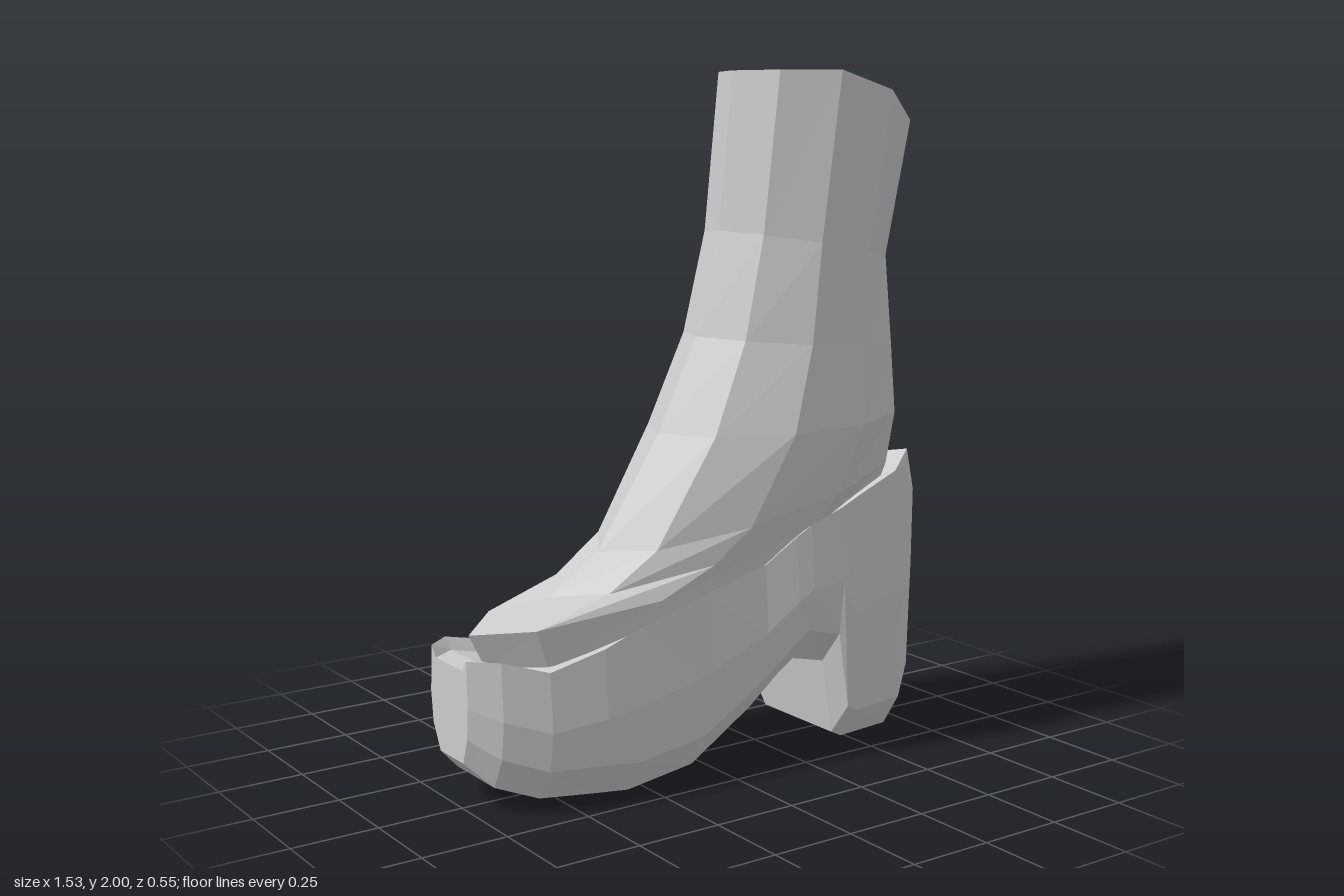
import * as THREE from 'three';

const material = new THREE.MeshStandardMaterial({ color: 0xcccccc, flatShading: true });

// Skin a row of equal-sized point loops, closing both ends with a fan.
function loft(name, rings, startTip, endTip) {
  const n = rings[0].length;
  const pos = [];
  const index = [];
  rings.forEach(r => r.forEach(p => pos.push(...p)));
  const mean = r => [0, 1, 2].map(k => r.reduce((s, p) => s + p[k], 0) / n);
  const last = rings.length - 1;
  const start = pos.length / 3;
  pos.push(...(startTip || mean(rings[0])));
  pos.push(...(endTip || mean(rings[last])));
  for (let i = 0; i < n; i++) {
    const k = (i + 1) % n;
    for (let j = 0; j < last; j++) {
      const a = j * n + i, b = j * n + k;
      index.push(a, b, b + n, a, b + n, a + n);
    }
    index.push(start, k, i);
    index.push(start + 1, last * n + i, last * n + k);
  }
  const geo = new THREE.BufferGeometry();
  geo.setAttribute('position', new THREE.Float32BufferAttribute(pos, 3));
  geo.setIndex(index);
  const flat = geo.toNonIndexed();
  flat.computeVertexNormals();
  const mesh = new THREE.Mesh(flat, material);
  mesh.name = name;
  return mesh;
}

// Tilted oval loop from an instep point to a heel point.
function oval([fx, fy, bx, by, width, cz], sides = 10) {
  return Array.from({ length: sides }, (_, i) => {
    const a = (i / sides) * Math.PI * 2;
    const t = (1 - Math.cos(a)) / 2;
    return [fx + (bx - fx) * t, fy + (by - fy) * t, cz + width * 1.04 * Math.sin(a)];
  });
}

// Chamfered sole section at x: bottom, top, +z and -z extents.
function section([x, b, t, zl, zr]) {
  const h = t - b;
  const chamfer = b + Math.min(0.1, h * 0.25);
  const side = z => [
    [x, t - 0.03, z * 0.75],
    [x, t, z * 0.94],
    [x, b + h * 0.55, z],
    [x, chamfer, z * 0.92],
    [x, b, z * 0.62],
  ];
  return [...side(zl), ...side(zr).reverse()];
}

export function createModel() {
  const boot = new THREE.Group();
  boot.name = 'boot';

  // Upper: foot and ankle, then the shaft
  const upper = [
    [-0.66, 0.38, 0.66, 0.5, 0.2, -0.02],
    [-0.71, 0.48, 0.71, 0.68, 0.215, -0.02],
    [-0.46, 0.55, 0.725, 0.78, 0.23, -0.02],
    [-0.3, 0.66, 0.73, 0.86, 0.25, -0.01],
    [-0.1, 0.98, 0.72, 1.0, 0.275, 0],
    [0.03, 1.25, 0.7, 1.2, 0.25, 0],
    [0.11, 1.55, 0.67, 1.46, 0.235, 0],
  ].map(r => oval(r));

  // Rim slopes down to the back; the opening is bevelled inward
  const slope = (ring, drop) => ring.map(([x, y, z]) =>
    [x, y - drop * (0.75 - x) / 0.6 - Math.max(0, x - 0.45) * 0.57, z]);
  upper.push(slope(oval([0.15, 2, 0.75, 2, 0.24, 0.01]), 0));
  upper.push(slope(oval([0.2, 2, 0.69, 2, 0.19, 0.005]), 0.07));
  upper.push(slope(oval([0.23, 1.91, 0.67, 1.91, 0.17, 0.005]), 0.03));
  upper.push(oval([0.25, 1.62, 0.65, 1.62, 0.155, 0.005]));
  boot.add(loft('upper', upper));

  // Platform sole, arch, heel block and heel counter
  const sole = [
    [-0.77, 0.15, 0.44, 0.08, -0.13],
    [-0.7, 0.08, 0.44, 0.15, -0.19],
    [-0.58, 0.035, 0.405, 0.205, -0.235],
    [-0.42, 0.02, 0.45, 0.23, -0.255],
    [-0.3, 0.005, 0.49, 0.225, -0.26],
    [-0.08, 0.035, 0.55, 0.22, -0.27],
    [0.12, 0.17, 0.61, 0.235, -0.275],
    [0.22, 0.26, 0.68, 0.25, -0.27],
    [0.27, 0.295, 0.71, 0.255, -0.27],
    [0.38, 0.27, 0.75, 0.26, -0.27],
    [0.42, 0.04, 0.765, 0.255, -0.27],
    [0.46, 0.02, 0.78, 0.25, -0.27],
    [0.65, 0.02, 0.84, 0.215, -0.26],
    [0.725, 0.1, 0.87, 0.16, -0.225],
  ].map(section);
  // Round the top of the counter over the back of the heel
  const back = sole[sole.length - 1];
  back.forEach(p => { if (p[1] > 0.8) { p[1] += Math.abs(p[2]) > 0.14 ? -0.12 : 0.03; p[0] += 0.012; } });
  boot.add(loft('sole', sole, null, [0.76, 0.33, -0.04]));

  return boot;
}
